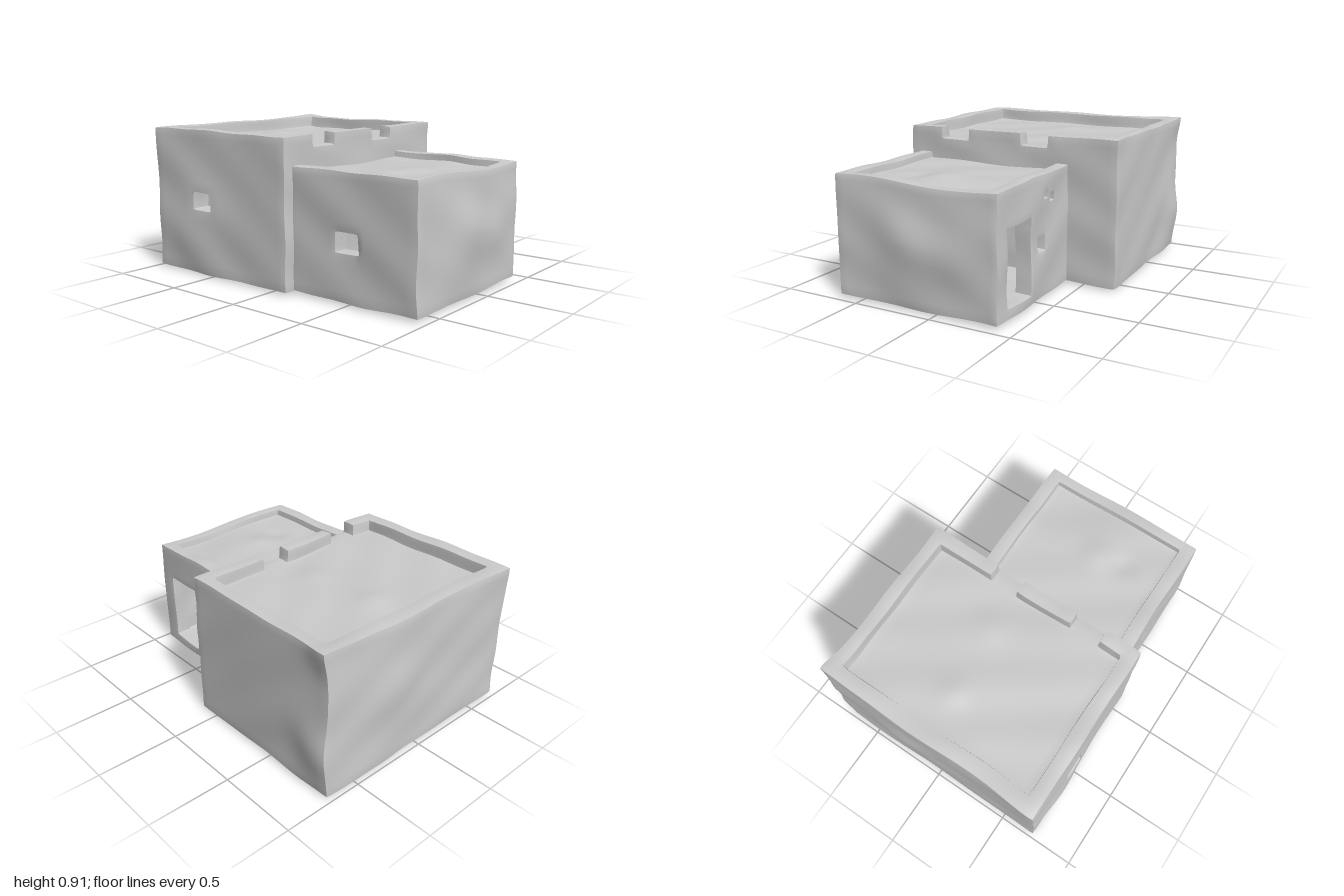
import * as THREE from 'three';
import { toCreasedNormals } from 'three/addons/utils/BufferGeometryUtils.js';

const material = new THREE.MeshStandardMaterial({ color: 0xcccccc });

// Grid lines along one axis: every cut lands on a line, gaps are subdivided
function ticks(lo, hi, cuts, step) {
  const stops = [...new Set([lo, hi, ...cuts.filter(c => c > lo && c < hi)])].sort((a, b) => a - b);
  const out = [lo];
  for (let i = 1; i < stops.length; i++) {
    const n = Math.ceil((stops[i] - stops[i - 1]) / step);
    for (let k = 1; k <= n; k++) out.push(stops[i - 1] + (stops[i] - stops[i - 1]) * k / n);
  }
  return out;
}

// Gentle unevenness of hand-plastered mud walls
function plaster(p) {
  const [x, y, z] = p;
  const wave = (a, b, c, s) =>
    0.5 * Math.sin(a * x + b * y + s) * Math.sin(c * z + a * y + 2 * s) +
    0.3 * Math.sin(2.3 * c * x - 1.9 * a * z + 2.7 * b * y + s);
  p[0] += 0.008 * wave(5, 7, 6, 0.4);
  p[1] += 0.008 * wave(6, 4, 7, 1.7);
  p[2] += 0.008 * wave(7, 6, 5, 2.9);
}

// A block with box-shaped cavities, skinned, roughened and softly rounded.
// Boxes are [x0, x1, y0, y1, z0, z1]; bumps are [x, y, z, radius, dx, dy, dz].
function mudBlock(name, box, cavities, bumps) {
  const axes = [0, 1, 2].map(a =>
    ticks(box[2 * a], box[2 * a + 1], cavities.flatMap(c => [c[2 * a], c[2 * a + 1]]), 0.036));
  const solid = cell => {
    if (cell.some((i, a) => i < 0 || i >= axes[a].length - 1)) return false;
    const m = cell.map((i, a) => (axes[a][i] + axes[a][i + 1]) / 2);
    return !cavities.some(c => m.every((v, a) => v > c[2 * a] && v < c[2 * a + 1]));
  };

  const points = [], links = [], index = [], ids = new Map();
  const vertex = v => {
    const key = v.join();
    if (!ids.has(key)) {
      ids.set(key, points.length);
      points.push(v.map((i, a) => axes[a][i]));
      links.push(new Set());
    }
    return ids.get(key);
  };

  // Emit a quad wherever a solid cell meets open air
  for (let i = 0; i < axes[0].length - 1; i++)
    for (let j = 0; j < axes[1].length - 1; j++)
      for (let k = 0; k < axes[2].length - 1; k++) {
        const cell = [i, j, k];
        if (!solid(cell)) continue;
        for (let a = 0; a < 3; a++)
          for (const side of [0, 1]) {
            const next = [...cell];
            next[a] += side ? 1 : -1;
            if (solid(next)) continue;
            const q = [[0, 0], [1, 0], [1, 1], [0, 1]].map(([u, w]) => {
              const v = [...cell];
              v[a] += side;
              v[(a + 1) % 3] += u;
              v[(a + 2) % 3] += w;
              return vertex(v);
            });
            if (!side) q.reverse();
            q.forEach((id, n) => {
              links[id].add(q[(n + 1) % 4]);
              links[id].add(q[(n + 3) % 4]);
            });
            index.push(q[0], q[1], q[2], q[0], q[2], q[3]);
          }
      }

  // Roughen, add bulges, then relax once so the edges look worn
  for (const p of points) {
    const start = [...p];
    plaster(p);
    for (const [x, y, z, r, ...push] of bumps) {
      const d2 = (start[0] - x) ** 2 + (start[1] - y) ** 2 + (start[2] - z) ** 2;
      const f = Math.exp(-d2 / (r * r));
      push.forEach((d, a) => { p[a] += d * f; });
    }
  }
  const relaxed = points.map((p, id) => p.map((v, a) => {
    let sum = 0;
    for (const n of links[id]) sum += points[n][a];
    return v * 0.6 + 0.4 * sum / links[id].size;
  }));

  const geometry = new THREE.BufferGeometry();
  geometry.setAttribute('position', new THREE.Float32BufferAttribute(relaxed.flat(), 3));
  geometry.setIndex(index);
  const mesh = new THREE.Mesh(toCreasedNormals(geometry, 0.75), material);
  mesh.name = name;
  return mesh;
}

export function createModel() {
  const group = new THREE.Group();
  group.name = 'mudBrickHouse';

  // Tall house: sunken roof, two gaps in the parapet, blind front window
  group.add(mudBlock('mainHouse', [-0.975, 0.125, 0.02, 0.905, -0.71, 0.715], [
    [-0.88, 0.04, 0.83, 2, -0.63, 0.625],
    [0.0, 1, 0.83, 2, 0.285, 0.48],
    [0.0, 1, 0.83, 2, -0.26, -0.08],
    [-0.63, -0.485, 0.42, 0.525, 0.6, 1],
  ], [
    [-0.62, 0.3, 0.715, 0.22, 0, 0, 0.026],
    [-0.9, 0.3, -0.71, 0.16, 0, 0, -0.035],
    [-0.97, 0.88, 0.7, 0.25, -0.02, 0, 0],
    [-0.97, 0.5, -0.2, 0.2, -0.02, 0, 0],
    [-0.97, 0.9, -0.7, 0.12, 0.01, 0.015, -0.03],
    [-0.95, 0.02, -0.25, 0.12, 0, -0.015, 0],
    [-0.65, 0.83, -0.05, 0.08, 0, 0.012, 0],
    [-0.2, 0.83, -0.1, 0.1, 0, 0.01, 0],
  ]));

  // Low annex: hollow room, shallow roof, doorway and small windows
  group.add(mudBlock('annex', [0.08, 0.955, 0.025, 0.74, -0.40, 0.645], [
    [0, 0.885, 0.7, 2, -0.32, 0.56],
    [0.22, 0.86, 0.085, 0.6, -0.3, 0.54],
    [0.42, 0.58, 0.3, 0.41, 0.5, 1],
    [0.42, 0.505, 0.305, 0.395, -1, -0.25],
    [0.585, 0.845, 0.085, 0.53, -1, -0.25],
    [0.3, 0.35, 0.57, 0.62, -1, -0.36],
    [0.38, 0.43, 0.6, 0.65, -1, -0.36],
  ], [
    [0.955, 0.4, 0.18, 0.2, 0.042, 0, 0],
    [0.955, 0.4, -0.15, 0.15, 0.015, 0, 0],
    [0.6, 0.7, 0.15, 0.1, 0, 0.018, 0],
    [0.62, 0.7, 0.33, 0.06, 0, -0.012, 0],
    [0.55, 0.74, -0.38, 0.1, 0, 0.012, 0],
    [0.955, 0.72, -0.15, 0.25, 0, -0.02, 0],
  ]));

  return group;
}
